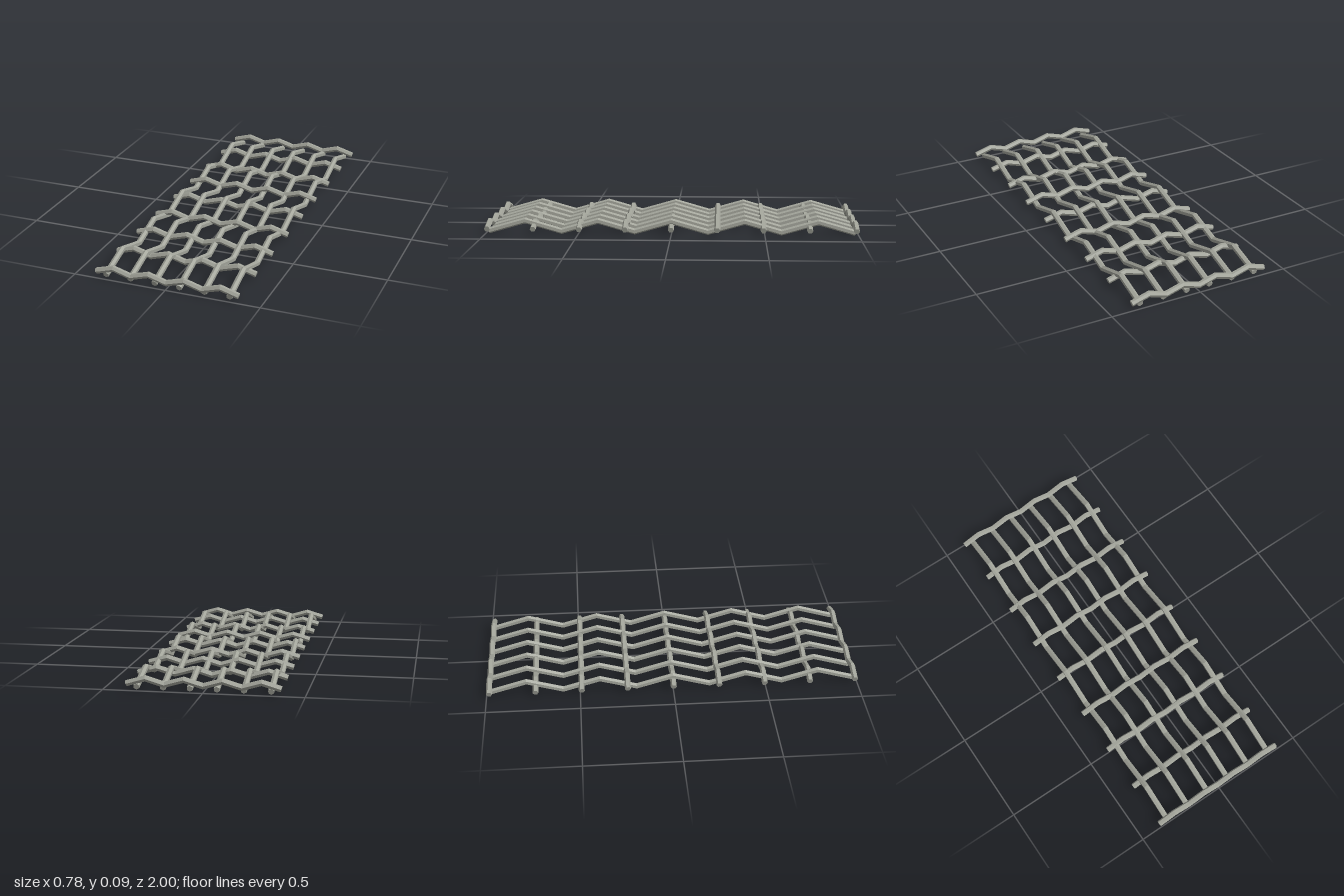
import * as THREE from 'three';

const SIDES = 6;
const RADIUS = 0.016;

// Hexagonal rod bent into a mitred zigzag along x, starting and ending in a valley.
function zigzagRod(halfLength, segments, low, high, phase) {
  const step = (2 * halfLength) / segments;
  const slope = Math.atan2(high - low, step);
  const positions = [];
  const index = [];

  for (let i = 0; i <= segments; i++) {
    const x = -halfLength + i * step;
    const y = i % 2 ? high : low;
    // Ends are cut square to the rod, bends are mitred vertically
    let nx = 0;
    let ny = 1 / Math.cos(slope);
    if (i === 0 || i === segments) {
      nx = (i === 0 ? -1 : 1) * Math.sin(slope);
      ny = Math.cos(slope);
    }
    for (let j = 0; j < SIDES; j++) {
      const a = phase + (j / SIDES) * Math.PI * 2;
      const h = Math.sin(a) * RADIUS;
      positions.push(x + nx * h, y + ny * h, Math.cos(a) * RADIUS);
    }
  }

  // Side faces
  for (let i = 0; i < segments; i++) {
    for (let j = 0; j < SIDES; j++) {
      const a = i * SIDES + j;
      const b = i * SIDES + ((j + 1) % SIDES);
      index.push(a, a + SIDES, b, b, a + SIDES, b + SIDES);
    }
  }
  // End caps
  const last = segments * SIDES;
  for (let j = 1; j < SIDES - 1; j++) {
    index.push(0, j, j + 1, last, last + j + 1, last + j);
  }

  const indexed = new THREE.BufferGeometry();
  indexed.setAttribute('position', new THREE.Float32BufferAttribute(positions, 3));
  indexed.setIndex(index);
  const geometry = indexed.toNonIndexed();
  geometry.computeVertexNormals();
  return geometry;
}

export function createModel() {
  const model = new THREE.Group();
  model.name = 'wireMesh';

  const steel = new THREE.MeshStandardMaterial({ color: 0xa3a59b, flatShading: true });
  steel.name = 'dullSteel';

  // Six long rods running front to back
  const longGeometry = zigzagRod(0.982, 10, 0.0172, 0.0735, Math.PI / 6);
  longGeometry.rotateY(Math.PI / 2);
  for (let i = 0; i < 6; i++) {
    const rod = new THREE.Mesh(longGeometry, steel);
    rod.name = `longRod${i + 1}`;
    rod.position.x = (i - 2.5) * 0.1333;
    model.add(rod);
  }

  // Nine cross rods running side to side
  const crossGeometry = zigzagRod(0.384, 8, 0.0335, 0.0615, 0);
  for (let i = 0; i < 9; i++) {
    const rod = new THREE.Mesh(crossGeometry, steel);
    rod.name = `crossRod${i + 1}`;
    rod.position.z = (i - 4) * 0.246;
    model.add(rod);
  }

  return model;
}
